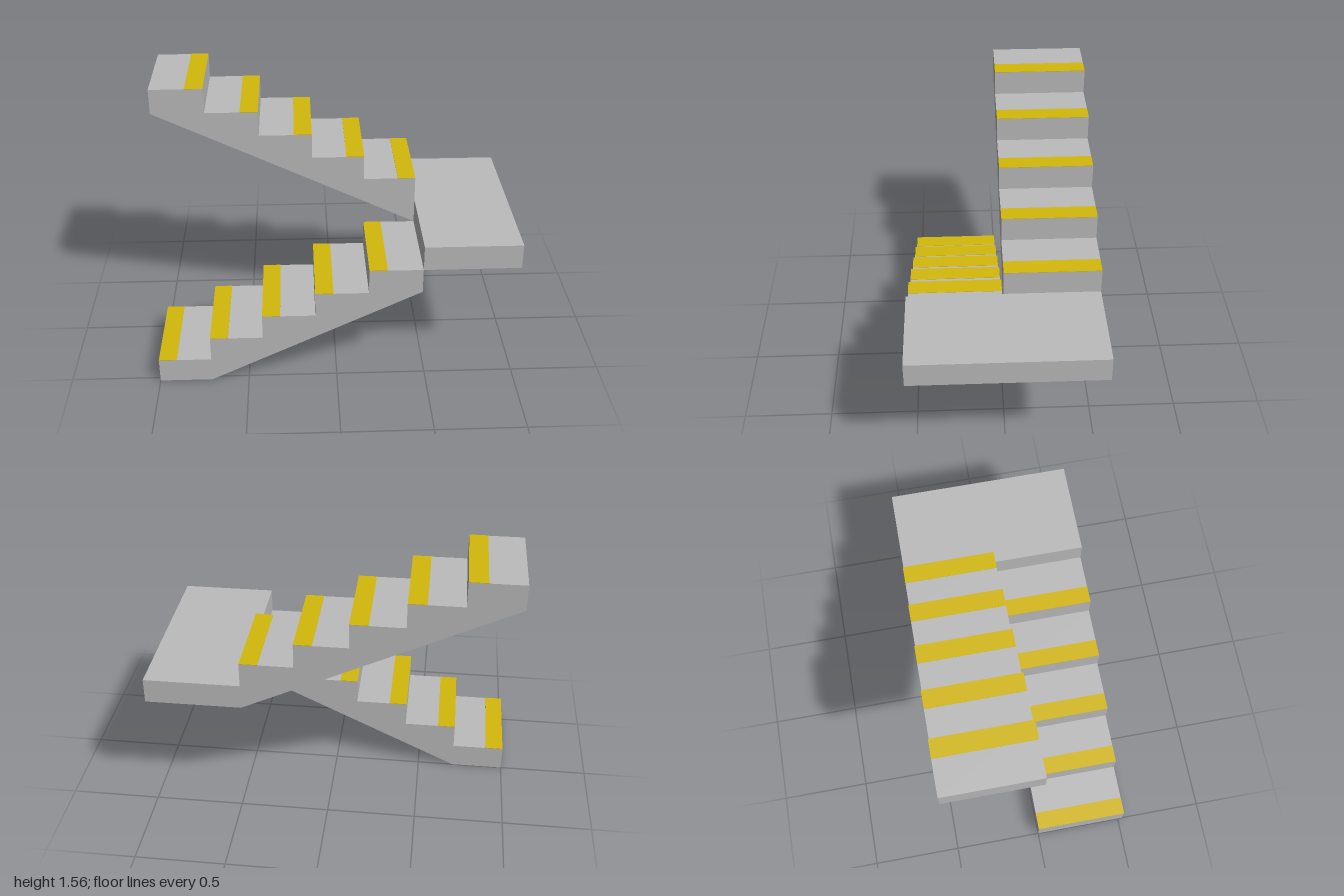
import * as THREE from 'three';

const STEPS = 5;
const RUN = 0.2934;    // tread depth
const RISE = 0.1413;   // step height
const WIDTH = 0.527;   // flight width
const END = -1 + STEPS * RUN; // where the flights meet the landing
const STRIPE = 0.1;
const THICK = 0.002;

export function createModel() {
  const concrete = new THREE.MeshStandardMaterial({ color: 0xbcbcbc });
  concrete.name = 'concrete grey';
  const yellow = new THREE.MeshStandardMaterial({ color: 0xd4b80c });
  yellow.name = 'safety yellow';

  const model = new THREE.Group();
  model.name = 'staircase';

  const box = (name, material, w, h, d, x, y, z, parent) => {
    const mesh = new THREE.Mesh(new THREE.BoxGeometry(w, h, d), material);
    mesh.name = name;
    mesh.position.set(x, y, z);
    parent.add(mesh);
  };

  // One flight: stepped side profile extruded across its width, plus nosing stripes
  const flight = (name, points, z0, treads) => {
    const group = new THREE.Group();
    group.name = name;
    const shape = new THREE.Shape(points.map(([x, y]) => new THREE.Vector2(x, y)));
    const body = new THREE.Mesh(
      new THREE.ExtrudeGeometry(shape, { depth: WIDTH, bevelEnabled: false }), concrete);
    body.name = name + 'Body';
    body.position.z = z0;
    group.add(body);
    treads.forEach(([x, y]) =>
      box('nosingStripe', yellow, STRIPE, THICK, WIDTH, x, y + THICK / 2, z0 + WIDTH / 2, group));
    model.add(group);
  };

  // Lower flight climbs towards +x, upper flight climbs back towards -x
  const lower = [[-1, 0], [-1 + RUN, 0], [END, 4 * RISE]];
  const upper = [[-1, 10 * RISE], [END, 5 * RISE]];
  const lowerTreads = [], upperTreads = [];
  for (let i = 0; i < STEPS; i++) {
    const right = END - i * RUN, left = right - RUN;
    const low = (STEPS - i) * RISE, high = (7 + i) * RISE;
    lower.push([right, low], [left, low]);
    upper.push([right, high], [left, high]);
    lowerTreads.push([left + STRIPE / 2, low]);
    upperTreads.push([right - STRIPE / 2, high]);
  }
  flight('lowerFlight', lower, 0, lowerTreads);
  flight('upperFlight', upper, -WIDTH, upperTreads);

  // Landing slab spanning both flights
  box('landing', concrete, 1 - END, RISE, 2 * WIDTH, (1 + END) / 2, 5.5 * RISE, 0, model);

  return model;
}
